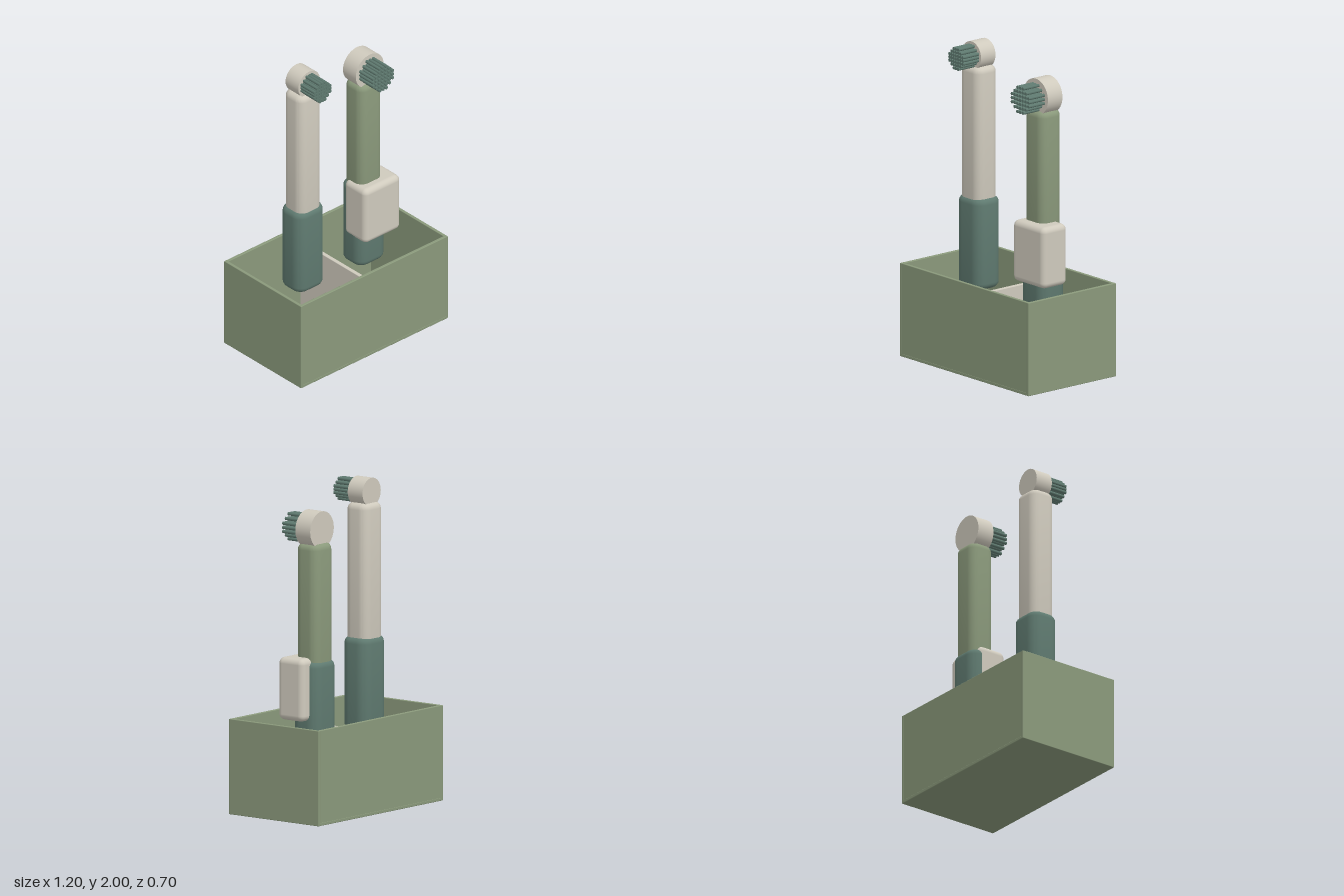
import * as THREE from 'three';
import { toCreasedNormals } from 'three/addons/utils/BufferGeometryUtils.js';
import { RoundedBoxGeometry } from 'three/addons/geometries/RoundedBoxGeometry.js';

const mat = (name, color) => {
  const m = new THREE.MeshStandardMaterial({ color });
  m.name = name;
  return m;
};

// Upright rounded bar: wide vertical corners, softer top and bottom edges
function barGeometry(w, d, y0, y1, corner, bevel) {
  const x = w / 2, y = d / 2, r = corner, s = new THREE.Shape();
  s.moveTo(-x + r, -y);
  s.lineTo(x - r, -y);
  s.absarc(x - r, -y + r, r, -Math.PI / 2, 0);
  s.lineTo(x, y - r);
  s.absarc(x - r, y - r, r, 0, Math.PI / 2);
  s.lineTo(-x + r, y);
  s.absarc(-x + r, y - r, r, Math.PI / 2, Math.PI);
  s.lineTo(-x, -y + r);
  s.absarc(-x + r, -y + r, r, Math.PI, Math.PI * 1.5);
  const g = new THREE.ExtrudeGeometry(s, {
    depth: y1 - y0 - 2 * bevel, curveSegments: 6, bevelEnabled: true,
    bevelThickness: bevel, bevelSize: bevel, bevelOffset: -bevel, bevelSegments: 5,
  });
  g.translate(0, 0, bevel).rotateX(-Math.PI / 2).translate(0, y0, 0);
  return toCreasedNormals(g, 0.6);
}

export function createModel() {
  const green = mat('sage green', 0x8a997b);
  const cream = mat('cream', 0xcfcabd);
  const teal = mat('dark teal', 0x5f7a70);
  const model = new THREE.Group();

  const add = (parent, name, geometry, material, x = 0, y = 0, z = 0) => {
    const m = new THREE.Mesh(geometry, material);
    m.name = name;
    m.position.set(x, y, z);
    parent.add(m);
    return m;
  };

  // Open storage box
  const box = new THREE.Group();
  box.name = 'box';
  model.add(box);
  const slab = (w, h, d) => new RoundedBoxGeometry(w, h, d, 2, 0.004);
  add(box, 'floor', slab(1.2, 0.02, 0.7), green, 0, 0.01, 0);
  for (const s of [-1, 1]) {
    add(box, 'sideWall', slab(0.02, 0.588, 0.7), green, s * 0.59, 0.294, 0);
    add(box, 'longWall', slab(1.17, 0.588, 0.02), green, 0, 0.294, s * 0.339);
  }
  add(box, 'divider', slab(0.026, 0.485, 0.625), cream, 0, 0.2575, 0);

  // Brush with grip, handle, round head and a disc of bristles
  function brush(name, o) {
    const b = new THREE.Group();
    b.name = name;
    b.position.set(o.x, 0, o.z);
    add(b, 'grip', barGeometry(0.228, 0.197, o.gripBottom, o.gripTop, 0.07, 0.04), teal);
    add(b, 'handle', barGeometry(0.185, 0.168, o.gripTop - 0.1, o.handleTop, 0.055, 0.04), o.handle);
    const headGeo = new THREE.CylinderGeometry(o.headR, o.headR, 0.116, 40).rotateX(Math.PI / 2);
    add(b, 'head', headGeo, cream, 0, o.headY, 0);
    const bristle = new THREE.CylinderGeometry(0.0105, 0.0105, 0.13, 8).rotateX(Math.PI / 2);
    for (let i = -3; i <= 3; i++) {
      for (let j = -3; j <= 3; j++) {
        if (Math.hypot(i, j) > 3.3) continue;
        add(b, 'bristle', bristle, teal, i * o.pitch, o.headY + j * o.pitch, 0.119);
      }
    }
    model.add(b);
  }
  brush('tallBrush', {
    x: -0.272, z: 0, gripBottom: 0.45, gripTop: 1.025, handleTop: 1.848,
    handle: cream, headR: 0.088, headY: 1.912, pitch: 0.0203,
  });
  brush('shortBrush', {
    x: 0.268, z: -0.05, gripBottom: 0.39, gripTop: 0.955, handleTop: 1.675,
    handle: green, headR: 0.114, headY: 1.757, pitch: 0.0255,
  });

  // Rounded block in front of the short brush
  add(model, 'block', new RoundedBoxGeometry(0.296, 0.385, 0.197, 5, 0.036), cream, 0.298, 0.783, 0);

  return model;
}
